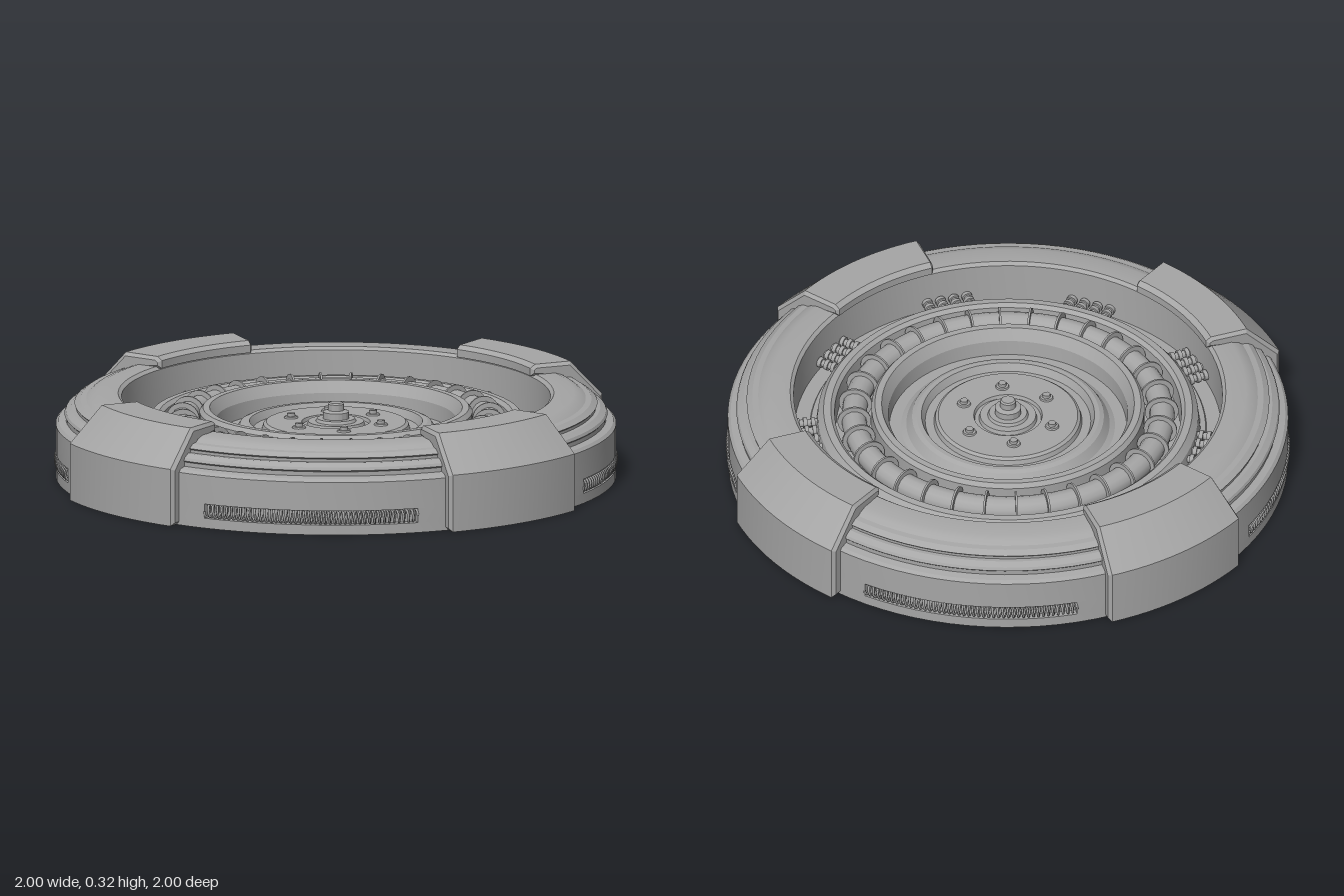
import * as THREE from 'three';
import { toCreasedNormals } from 'three/addons/utils/BufferGeometryUtils.js';

const V2 = (p) => new THREE.Vector2(p[0], p[1]);

// Extrude a (radius, height) outline through an angle around the y axis
function arcSweep(outline, angle, steps, bevel = 0) {
  const geo = new THREE.ExtrudeGeometry(new THREE.Shape(outline.map(V2)), {
    depth: angle - 2 * bevel, steps, bevelEnabled: bevel > 0,
    bevelThickness: bevel, bevelSize: bevel, bevelOffset: -bevel, bevelSegments: 1,
  });
  const p = geo.attributes.position;
  for (let i = 0; i < p.count; i++) {
    const r = p.getX(i), a = p.getZ(i) - angle / 2 + bevel;
    p.setXYZ(i, r * Math.cos(a), p.getY(i), r * Math.sin(a));
  }
  return toCreasedNormals(geo, 0.4);
}

export function createModel() {
  const model = new THREE.Group();
  const grey = new THREE.MeshStandardMaterial({ color: 0xa6a6a6 });
  grey.name = 'metalGrey';

  const add = (parent, name, geo) => {
    const mesh = new THREE.Mesh(geo, grey);
    mesh.name = name;
    parent.add(mesh);
    return mesh;
  };
  // Repeat a part evenly around the y axis
  const ring = (name, count, offset, build) => {
    for (let i = 0; i < count; i++) {
      const g = new THREE.Group();
      g.name = name;
      g.rotation.y = offset + (i / count) * Math.PI * 2;
      build(g);
      model.add(g);
    }
  };
  const turned = (name, pts) =>
    add(model, name, toCreasedNormals(new THREE.LatheGeometry(pts.map(V2), 96), 0.35));

  // Outer housing with stepped shoulder, and the vent channel
  turned('housing', [
    [0, 0], [0.965, 0], [0.965, 0.035], [0.94, 0.035], [0.94, 0.085], [0.965, 0.085],
    [0.965, 0.185], [0.955, 0.195], [0.93, 0.2], [0.93, 0.215], [0.935, 0.22], [0.93, 0.23],
    [0.91, 0.242], [0.895, 0.242], [0.895, 0.252], [0.9, 0.257], [0.88, 0.27], [0.86, 0.272],
    [0.845, 0.282], [0.82, 0.29], [0.75, 0.29], [0.738, 0.28], [0.735, 0.13], [0.62, 0.13],
  ]);

  // Ring walls holding the coil
  turned('coilCradle', [
    [0.685, 0.128], [0.68, 0.137], [0.662, 0.14], [0.655, 0.19], [0.635, 0.215], [0.61, 0.217],
    [0.597, 0.205], [0.592, 0.14], [0.47, 0.14], [0.47, 0.225], [0.458, 0.24], [0.435, 0.24],
    [0.412, 0.2], [0.408, 0.145], [0.34, 0.145],
  ]);

  // Central hub: stepped ring, bolt plate and spindle
  turned('hub', [
    [0.37, 0.144], [0.35, 0.155], [0.33, 0.185], [0.315, 0.192], [0.298, 0.192], [0.285, 0.165],
    [0.255, 0.165], [0.25, 0.182], [0.24, 0.19], [0.118, 0.19], [0.114, 0.178], [0.1, 0.178],
    [0.096, 0.192], [0.07, 0.192], [0.065, 0.202], [0.045, 0.202], [0.045, 0.225],
    [0.027, 0.23], [0.027, 0.252], [0.022, 0.257], [0, 0.257],
  ]);
  ring('hubBolt', 6, 0, (g) => {
    add(g, 'boltWasher', new THREE.CylinderGeometry(0.022, 0.024, 0.006, 16)).position.set(0.165, 0.193, 0);
    add(g, 'boltHead', new THREE.CylinderGeometry(0.014, 0.015, 0.014, 6)).position.set(0.165, 0.2, 0);
  });

  // Coil core with round fins
  const core = add(model, 'coilCore', new THREE.TorusGeometry(0.53, 0.043, 14, 96));
  core.rotation.x = Math.PI / 2;
  core.position.y = 0.185;
  const finGeo = toCreasedNormals(new THREE.CylinderGeometry(0.058, 0.058, 0.007, 24), 0.5);
  ring('coilFin', 32, 0, (g) => {
    const fin = add(g, 'finDisc', finGeo);
    fin.rotation.x = Math.PI / 2;
    fin.position.set(0.53, 0.187, 0);
  });

  // Clusters of ribbed hoses between cradle and housing
  const hoseGeo = new THREE.CylinderGeometry(0.013, 0.013, 0.09, 10);
  const ribGeo = new THREE.CylinderGeometry(0.019, 0.019, 0.014, 12);
  ring('hoseCluster', 9, Math.PI / 2, (g) => {
    for (let k = -1.5; k <= 1.5; k++) {
      const hose = add(g, 'hose', hoseGeo);
      hose.rotation.z = Math.PI / 2;
      hose.position.set(0.695, 0.165, k * 0.047);
      for (let j = -1; j <= 1; j++) {
        const rib = add(g, 'hoseRib', ribGeo);
        rib.rotation.z = Math.PI / 2;
        rib.position.set(0.695 + j * 0.027, 0.165, k * 0.047);
      }
    }
  });

  // Four clamps over the rim, with wall infill between the vents
  const clampGeo = arcSweep([
    [0.9, 0], [1, 0], [1, 0.2], [0.88, 0.325], [0.748, 0.325], [0.73, 0.312], [0.73, 0.285], [0.84, 0.27],
  ], 0.574, 12, 0.012);
  const infillGeo = arcSweep([[0.935, 0.035], [0.965, 0.035], [0.965, 0.085], [0.935, 0.085]], Math.PI / 4, 12);
  ring('rimClamp', 4, 0, (g) => {
    add(g, 'clamp', clampGeo);
    add(g, 'wallInfill', infillGeo);
  });

  // Wire coil inside each vent
  class VentCoil extends THREE.Curve {
    getPoint(t, out = new THREE.Vector3()) {
      const a = (t - 0.5) * Math.PI / 4, w = t * 44 * Math.PI * 2;
      const r = 0.955 + 0.012 * Math.cos(w);
      return out.set(r * Math.cos(a), 0.06 + 0.021 * Math.sin(w), r * Math.sin(a));
    }
  }
  const coilGeo = new THREE.TubeGeometry(new VentCoil(), 528, 0.0045, 5);
  ring('ventCoil', 4, Math.PI / 4, (g) => add(g, 'coilWire', coilGeo));

  return model;
}
